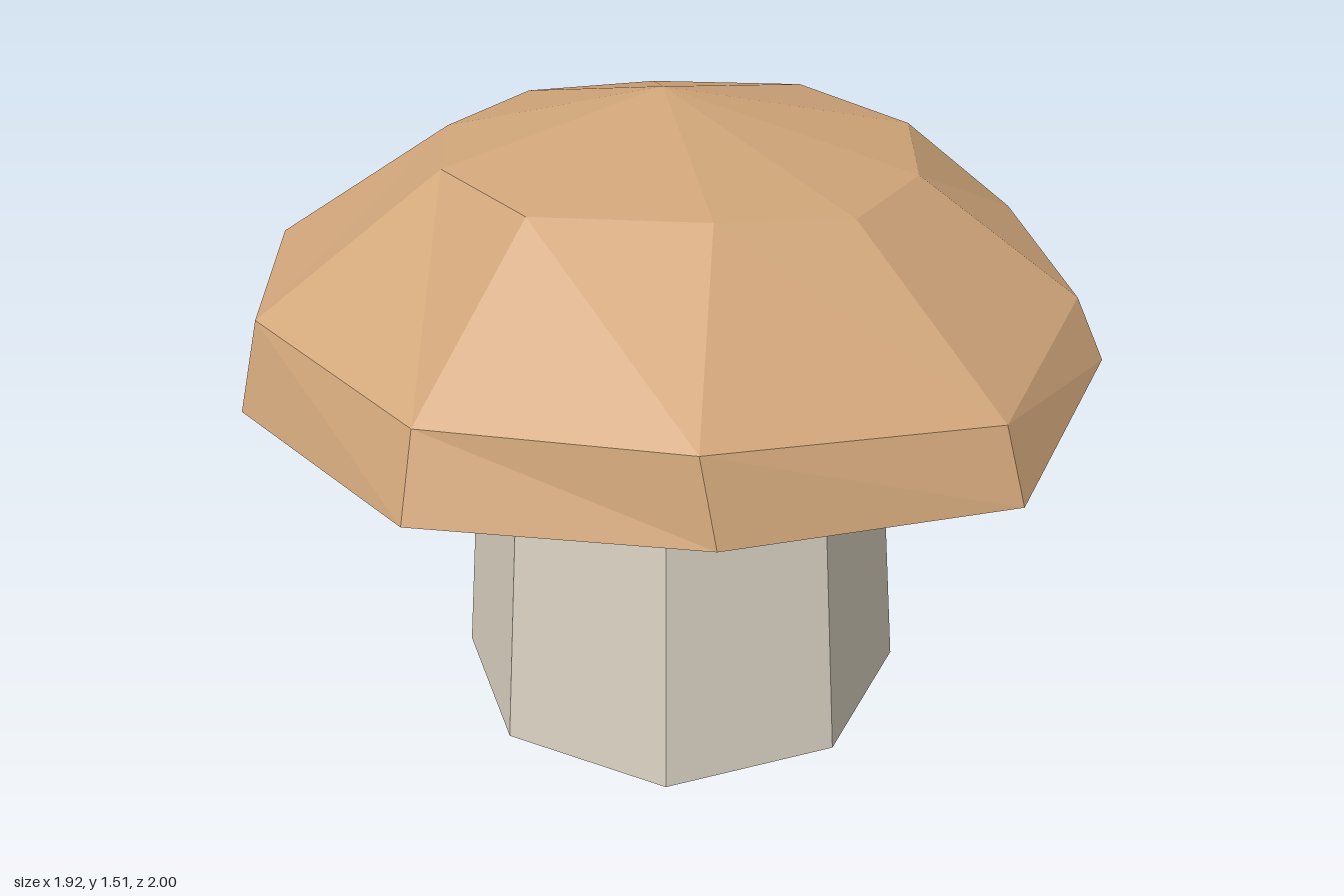
import * as THREE from 'three';

const SIDES = 10;

// Irregular cap rings, [x, y, z], running from the back round by the left (+x)
const rim = [
  [0.03, 0.935, -1.0], [0.6, 0.91, -0.83], [0.96, 0.91, -0.36], [0.95, 0.88, 0.29], [0.56, 0.95, 0.78],
  [0, 0.89, 1.0], [-0.6, 0.93, 0.76], [-0.96, 0.9, 0.26], [-0.96, 0.9, -0.37], [-0.6, 0.91, -0.83],
];
const brow = [
  [-0.02, 1.09, -0.98], [0.53, 1.08, -0.83], [0.92, 1.115, -0.31], [0.91, 1.075, 0.23], [0.54, 1.085, 0.71],
  [0, 1.05, 0.94], [-0.6, 1.11, 0.71], [-0.9, 1.08, 0.23], [-0.91, 1.11, -0.35], [-0.58, 1.09, -0.82],
];
const shoulder = [
  [0, 1.38, -0.58], [0.33, 1.36, -0.49], [0.54, 1.38, -0.17], [0.55, 1.36, 0.18], [0.3, 1.355, 0.43],
  [-0.02, 1.365, 0.54], [-0.3, 1.395, 0.42], [-0.56, 1.4, 0.16], [-0.51, 1.39, -0.21], [-0.31, 1.38, -0.48],
];
const apex = [-0.02, 1.51, -0.05];
const underside = [0, 0.91, 0];

function capGeometry() {
  const points = [];
  const face = (...corners) => corners.forEach((c) => points.push(...c));
  for (let i = 0; i < SIDES; i++) {
    const j = (i + 1) % SIDES;
    for (const [low, high] of [[rim, brow], [brow, shoulder]]) {
      face(low[i], high[i], high[j]);
      face(low[i], high[j], low[j]);
    }
    face(shoulder[i], apex, shoulder[j]);
    face(rim[i], rim[j], underside);
  }
  const geometry = new THREE.BufferGeometry();
  geometry.setAttribute('position', new THREE.Float32BufferAttribute(points, 3));
  geometry.computeVertexNormals();
  return geometry;
}

export function createModel() {
  const capTan = new THREE.MeshStandardMaterial({ color: 0xd1a67a, flatShading: true });
  capTan.name = 'capTan';
  const stemCream = new THREE.MeshStandardMaterial({ color: 0xd8d0c0, flatShading: true });
  stemCream.name = 'stemCream';

  const group = new THREE.Group();
  group.name = 'mushroom';

  // Faceted cap
  const cap = new THREE.Mesh(capGeometry(), capTan);
  cap.name = 'cap';

  // Tapered eight-sided stem, its top hidden inside the cap
  const stem = new THREE.Mesh(new THREE.CylinderGeometry(0.47, 0.555, 0.96, 8), stemCream);
  stem.name = 'stem';
  stem.position.set(0, 0.48, -0.02);

  group.add(cap, stem);
  return group;
}
